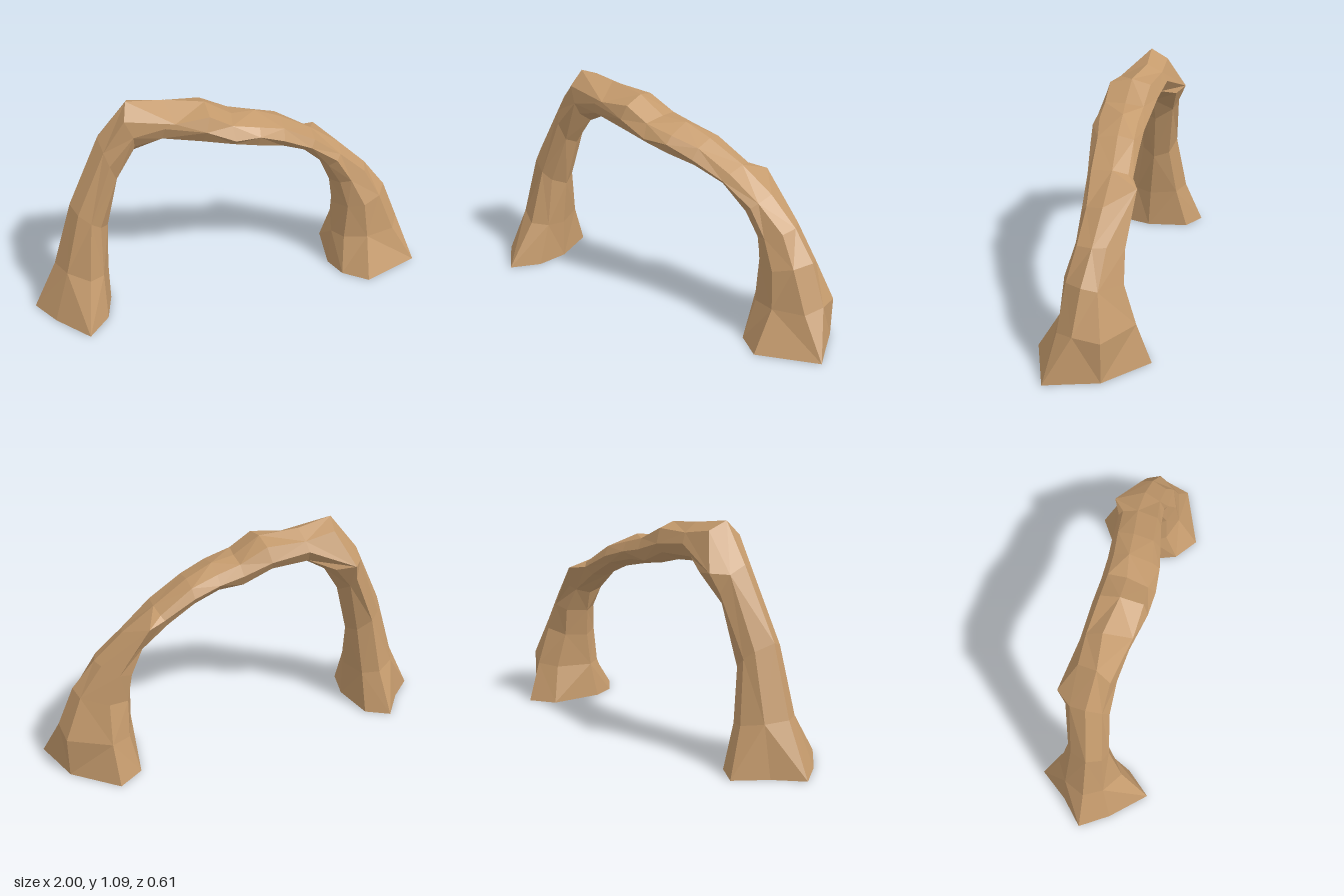
import * as THREE from 'three';

// Rings along the arch: outer x, y, inner x, y, then z of outer, inner, front, back
const RINGS = [
  [-1.00, 0.00, -0.62, 0.00, 0.00, 0.03, 0.305, -0.25],
  [-0.88, 0.25, -0.62, 0.20, 0.00, 0.02, 0.16, -0.16],
  [-0.78, 0.58, -0.605, 0.43, 0.00, 0.00, 0.09, -0.11],
  [-0.62, 0.91, -0.54, 0.68, -0.03, -0.02, 0.07, -0.14],
  [-0.48, 1.09, -0.45, 0.82, -0.01, -0.03, 0.075, -0.18],
  [-0.30, 1.065, -0.34, 0.88, -0.03, 0.00, 0.095, -0.13],
  [-0.11, 1.045, -0.15, 0.865, 0.00, 0.00, 0.135, -0.125],
  [0.02, 0.965, 0.00, 0.825, 0.00, 0.02, 0.14, -0.12],
  [0.14, 0.955, 0.12, 0.805, -0.02, 0.02, 0.13, -0.12],
  [0.27, 0.90, 0.25, 0.775, -0.03, 0.00, 0.105, -0.13],
  [0.44, 0.80, 0.38, 0.71, -0.05, -0.03, 0.075, -0.14],
  [0.60, 0.69, 0.50, 0.60, -0.05, -0.05, 0.06, -0.145],
  [0.74, 0.56, 0.55, 0.49, -0.04, -0.03, 0.065, -0.165],
  [0.85, 0.42, 0.57, 0.35, -0.02, -0.02, 0.10, -0.175],
  [0.93, 0.22, 0.57, 0.18, 0.00, 0.00, 0.12, -0.235],
  [0.96, 0.00, 0.55, 0.00, 0.00, 0.03, 0.235, -0.305],
];
const SIDES = 8;

// Individual crags that break the regular section: ring, corner, x, y, z
const CRAGS = [
  [0, 7, -0.88, 0, -0.11],
  [4, 1, -0.50, 1.02, 0.055],
  [4, 6, -0.55, 0.88, -0.18],
  [4, 7, -0.46, 1.05, -0.10],
  [5, 1, -0.27, 1.00, 0.10],
  [6, 1, -0.11, 1.02, 0.11],
  [7, 1, 0.00, 0.955, 0.105],
  [7, 7, 0.02, 0.955, -0.09],
  [11, 7, 0.50, 0.75, -0.18],
  [12, 7, 0.72, 0.56, -0.10],
  [13, 7, 0.83, 0.40, -0.09],
  [14, 1, 0.88, 0.20, 0.085],
  [14, 7, 0.92, 0.20, -0.125],
  [15, 1, 1.00, 0, 0.12],
  [15, 7, 0.92, 0, -0.125],
];

// Eight-sided section: outer ridge, front side, inner ridge, back side
function section([ox, oy, ix, iy, zo, zi, zf, zb], i) {
  const foot = Math.max(0, 1 - (oy + iy) / 1.1); // feet are more pointed
  const corner = 0.76 - 0.2 * foot;
  const wob = (k) => 0.05 * Math.sin(i * 2.3 + k * 1.7) * (1 - foot);
  const at = (t, z) => [ox + (ix - ox) * t, oy + (iy - oy) * t, z];
  const mix = (a, b, t) => a + (b - a) * t;
  const tOut = 0.17 + 0.06 * foot;
  const tIn = 0.8 + 0.1 * foot;
  return [
    at(0, zo),
    at(tOut + wob(1), mix(zo, zf, corner - 0.1 * foot + wob(2))),
    at(0.5 + 0.12 * foot + wob(3), zf),
    at(tIn + wob(4), mix(zi, zf, corner + wob(5))),
    at(1, zi),
    at(tIn + wob(6), mix(zi, zb, corner + 0.2 * foot + wob(7))),
    at(0.48 + 0.12 * foot + wob(8), zb),
    at(tOut + wob(9), mix(zo, zb, corner + wob(10))),
  ];
}

// Skin the rings with facets, leaving the undersides of the feet open
function archGeometry() {
  const sections = RINGS.map(section);
  for (const [ring, corner, ...point] of CRAGS) sections[ring][corner] = point;
  const index = [];
  for (let i = 0; i < RINGS.length - 1; i++) {
    for (let j = 0; j < SIDES; j++) {
      const a = i * SIDES + j;
      const b = i * SIDES + ((j + 1) % SIDES);
      const c = a + SIDES;
      const d = b + SIDES;
      // Alternate the diagonals for an irregular rocky surface
      if ((i + j) % 2) index.push(a, b, c, b, d, c);
      else index.push(a, b, d, a, d, c);
    }
  }
  const indexed = new THREE.BufferGeometry();
  indexed.setAttribute('position', new THREE.Float32BufferAttribute(sections.flat(2), 3));
  indexed.setIndex(index);
  const geometry = indexed.toNonIndexed();
  geometry.computeVertexNormals();
  return geometry;
}

export function createModel() {
  const group = new THREE.Group();
  group.name = 'naturalRockArch';
  const sandstone = new THREE.MeshStandardMaterial({
    color: 0xc49a6c, flatShading: true, side: THREE.DoubleSide,
  });
  sandstone.name = 'sandstone';
  const arch = new THREE.Mesh(archGeometry(), sandstone);
  arch.name = 'rockArch';
  group.add(arch);
  return group;
}
